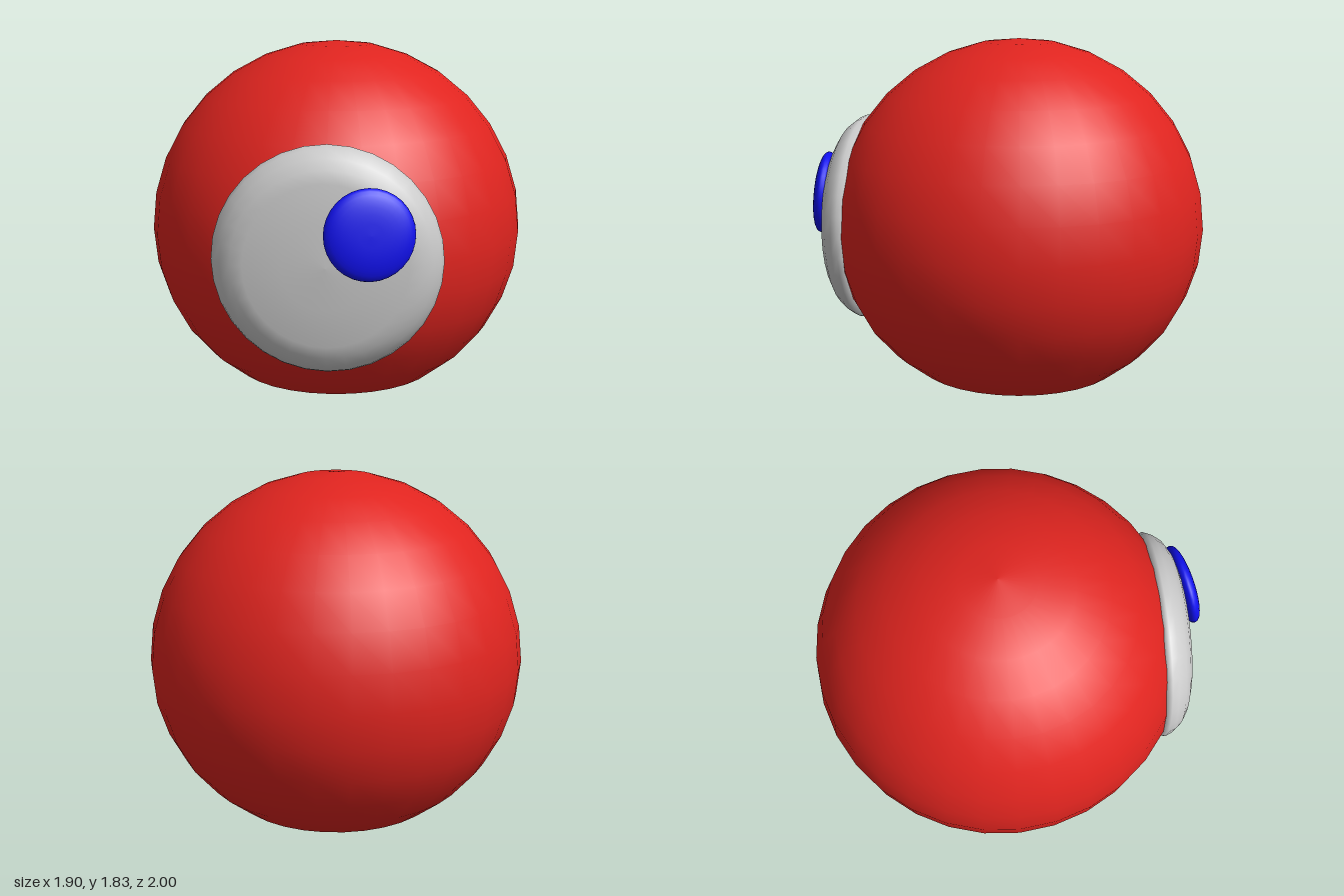
import * as THREE from 'three';

// Lathe from [radius, height] points listed bottom to top
function turned(name, points, color, segments = 32) {
  const profile = points.map(([r, h]) => new THREE.Vector2(r, h));
  const mesh = new THREE.Mesh(
    new THREE.LatheGeometry(profile, segments),
    new THREE.MeshStandardMaterial({ color })
  );
  mesh.name = name;
  return mesh;
}

export function createModel() {
  const group = new THREE.Group();
  const R = 0.95, rings = 16, centerY = 0.88, centerZ = -0.05;

  // Ball body, its underside slightly flattened
  const lift = [0.075, 0.08, 0.062, 0.032, 0.026, 0.018, 0.016, 0.005];
  const ball = [];
  for (let i = 0; i <= rings; i++) {
    const a = (i / rings) * Math.PI;
    ball.push([R * Math.sin(a), centerY - R * Math.cos(a) + (lift[i] ?? 0)]);
  }
  const body = turned('body', ball, 0xe0241f);
  body.position.z = centerZ;
  group.add(body);

  // Shallow domed eyeball set into the front
  const eye = turned('eyeWhite', [
    [0, 0.72], [0.48, 0.72], [0.53, 0.73], [0.54, 0.76], [0.525, 0.795], [0.49, 0.84],
    [0.44, 0.872], [0.38, 0.892], [0.2, 0.912], [0, 0.92],
  ], 0xcccccc);
  eye.rotation.x = Math.PI / 2;
  eye.position.y = centerY;
  group.add(eye);

  // Rounded pupil disc, tilted to follow the eye
  const disc = [];
  for (let i = 0; i <= rings; i++) {
    const a = (i / rings) * Math.PI;
    const c = -Math.cos(a);
    disc.push([0.21 * Math.sin(a) ** 0.8, 0.05 * Math.sign(c) * Math.abs(c) ** 0.9]);
  }
  const pupil = turned('pupil', disc, 0x1010ee);
  const normal = new THREE.Vector3(0.2, 0.11, 1).normalize();
  pupil.quaternion.setFromUnitVectors(new THREE.Vector3(0, 1, 0), normal);
  pupil.position.set(0.2, 1.04, 0.93);
  group.add(pupil);

  return group;
}
